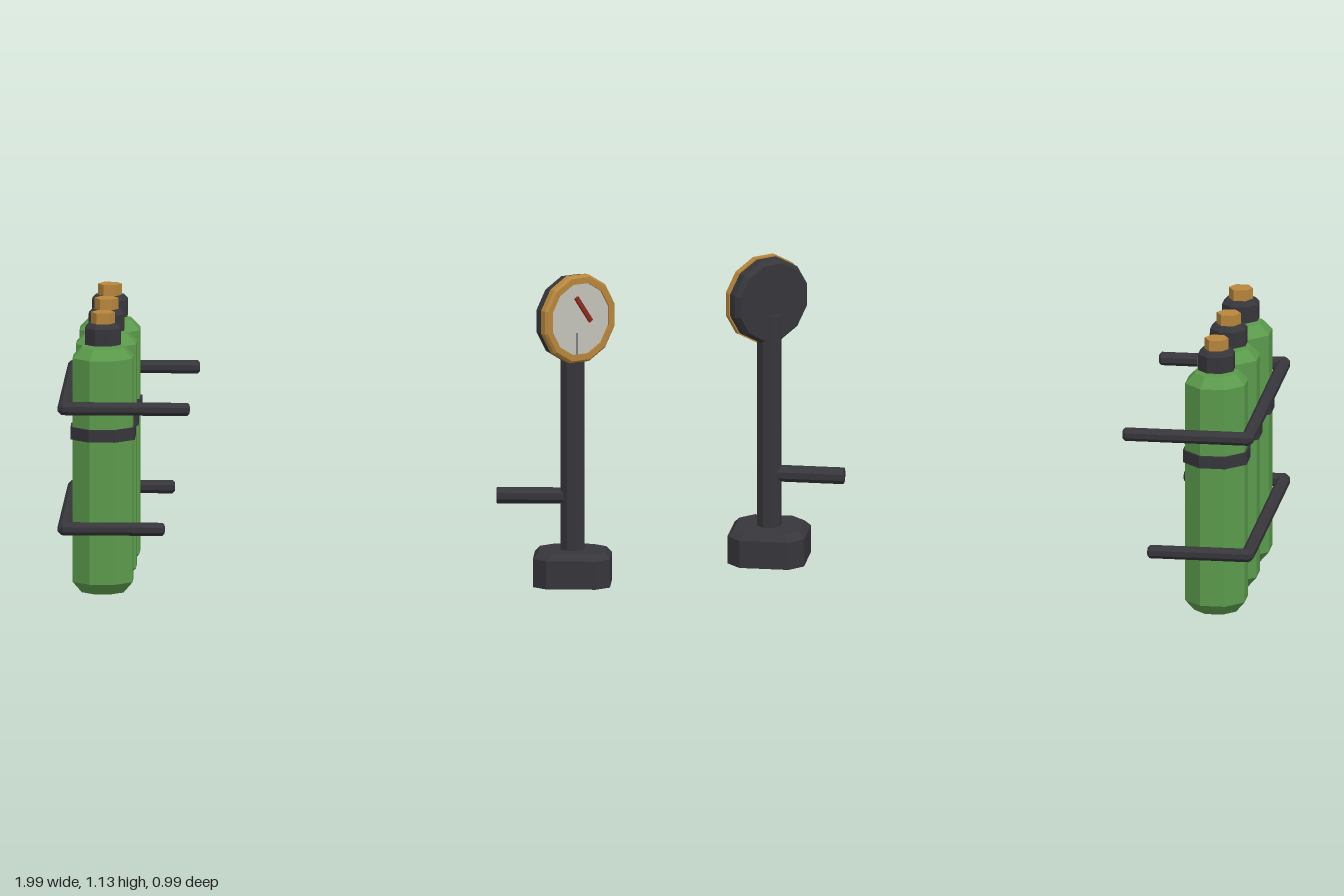
import * as THREE from 'three';

const mat = (color) => new THREE.MeshStandardMaterial({ color, flatShading: true });

export function createModel() {
  const model = new THREE.Group();
  const green = mat(0x5b9a4c), dark = mat(0x36363b), brass = mat(0xb8873c);
  const dialGrey = mat(0xc4c4bc), red = mat(0x8e2a20);

  const add = (parent, name, geometry, material, x = 0, y = 0, z = 0) => {
    const mesh = new THREE.Mesh(geometry, material);
    mesh.name = name;
    mesh.position.set(x, y, z);
    parent.add(mesh);
    return mesh;
  };

  // Faceted turned solid: profile of [half width across flats, height], flats on the axes
  const turned = (profile, sides = 8) => {
    const k = 1 / Math.cos(Math.PI / sides);
    const pts = profile.map(([r, y]) => new THREE.Vector2(r * k, y));
    const g = new THREE.LatheGeometry(pts, sides, Math.PI / sides).toNonIndexed();
    g.computeVertexNormals();
    return g;
  };

  // Rod along y with chamfered ends
  const rod = (length, r, c = 0.008) => {
    const h = length / 2;
    return turned([[0, -h], [r - c, -h], [r, c - h], [r, h - c], [r - c, h], [0, h]]);
  };

  // Three gas cylinders
  for (const z of [-0.313, 0, 0.313]) {
    const tank = new THREE.Group();
    tank.name = 'gasCylinder';
    tank.position.set(-0.843, 0, z);
    model.add(tank);
    add(tank, 'body', turned([[0, 0], [0.075, 0], [0.108, 0.04], [0.108, 0.855], [0.075, 0.892], [0, 0.892]]), green);
    add(tank, 'band', turned([[0, 0.56], [0.116, 0.56], [0.116, 0.605], [0, 0.605]]), dark);
    add(tank, 'collar', turned([[0, 0.902], [0.064, 0.902], [0.064, 0.962], [0.05, 0.978], [0, 0.978]]), dark);
    add(tank, 'valve', turned([[0, 0.97], [0.038, 0.97], [0.038, 1.018], [0, 1.018]], 6), brass);
  }

  // Two rails, each a back bar with a pair of arms
  for (const [y, end] of [[0.69, -0.525], [0.252, -0.615]]) {
    const rail = new THREE.Group();
    rail.name = 'rail';
    rail.position.y = y;
    model.add(rail);
    add(rail, 'backBar', rod(0.96, 0.0225), dark, -0.9775).rotation.x = Math.PI / 2;
    for (const z of [-0.47, 0.47]) {
      const start = -0.99;
      add(rail, 'arm', rod(end - start, 0.0225), dark, (start + end) / 2, 0, z).rotation.z = Math.PI / 2;
    }
  }

  // Gauge stand
  const stand = new THREE.Group();
  stand.name = 'gaugeStand';
  stand.position.set(0.838, 0, 0.078);
  model.add(stand);

  // Base: square block with cut corners and a chamfered top
  const base = turned([[0, 0], [0.139, 0], [0.139, 0.102], [0.119, 0.125], [0, 0.125]]);
  const p = base.attributes.position;
  for (let i = 0; i < p.count; i++) {
    const x = p.getX(i), z = p.getZ(i), m = Math.max(Math.abs(x), Math.abs(z));
    if (m < 0.01) continue;
    if (Math.abs(x) < Math.abs(z)) p.setX(i, Math.sign(x) * (m - 0.05));
    else p.setZ(i, Math.sign(z) * (m - 0.05));
  }
  base.computeVertexNormals();
  add(stand, 'base', base, dark);
  add(stand, 'post', turned([[0, 0.1], [0.042, 0.1], [0.042, 0.92], [0, 0.92]]), dark);
  add(stand, 'handle', rod(0.27, 0.028, 0.002), dark, -0.138, 0.32, 0).rotation.z = Math.PI / 2;

  // Dial, turned about its own axis and aimed between front and left
  const gauge = new THREE.Group();
  gauge.name = 'gauge';
  gauge.position.y = 0.97;
  gauge.rotation.y = THREE.MathUtils.degToRad(40);
  stand.add(gauge);
  const disc = (name, profile, material) => {
    add(gauge, name, turned(profile, 12), material).rotation.x = Math.PI / 2;
  };
  disc('housing', [[0, -0.03], [0.14, -0.03], [0.153, -0.012], [0.153, 0.025], [0, 0.025]], dark);
  disc('rim', [[0.128, 0.02], [0.158, 0.02], [0.158, 0.042], [0.15, 0.05], [0.128, 0.05], [0.128, 0.02]], brass);
  disc('face', [[0, 0.02], [0.129, 0.02], [0.129, 0.043], [0, 0.043]], dialGrey);
  add(gauge, 'needle', new THREE.BoxGeometry(0.016, 0.112, 0.012), red, 0.014, 0.034, 0.047).rotation.z = 0.63;

  return model;
}
